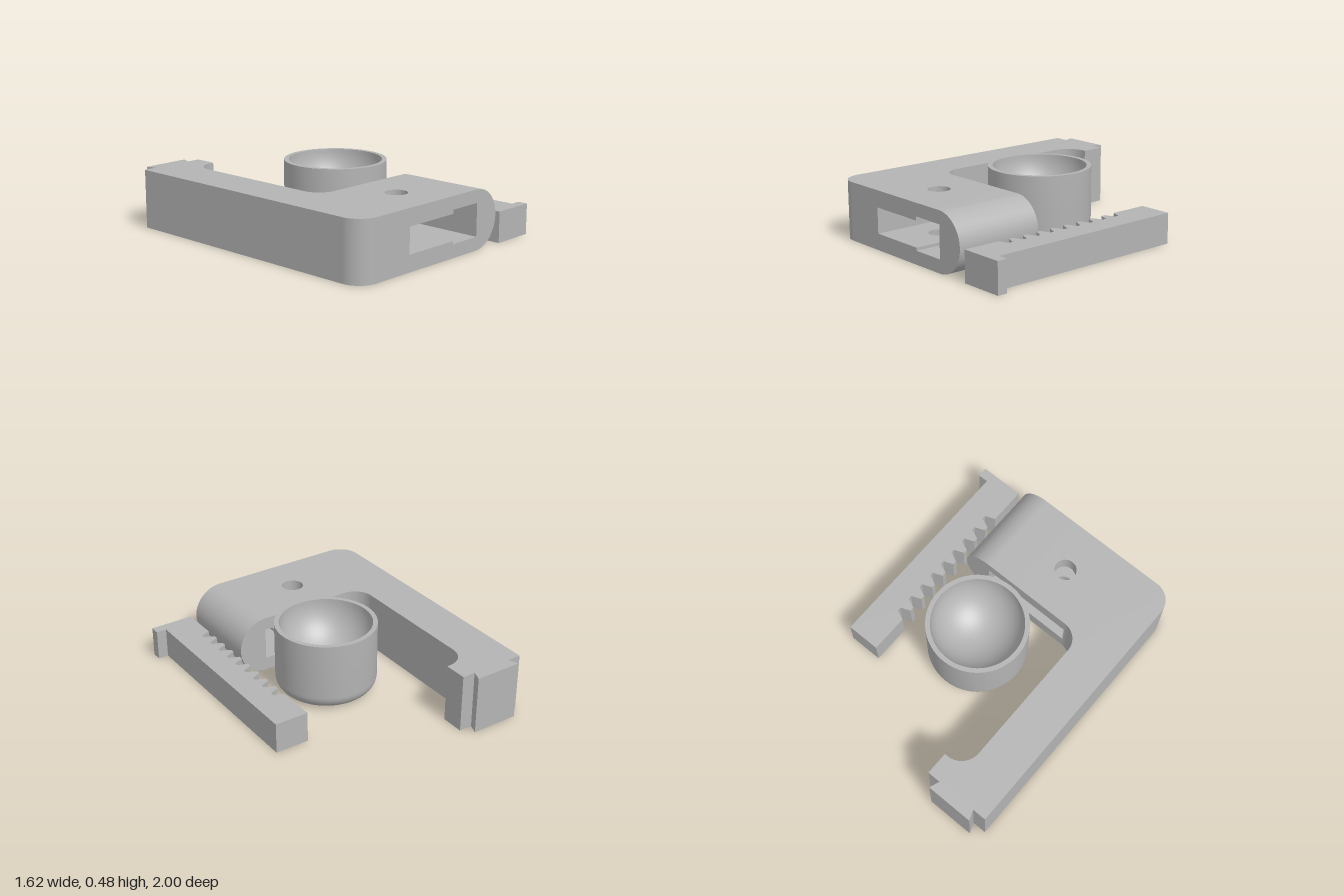
import * as THREE from 'three';
import { toCreasedNormals } from 'three/addons/utils/BufferGeometryUtils.js';

const grey = new THREE.MeshStandardMaterial({ color: 0xb4b4b4 });
grey.name = 'grey plastic';

function part(name, geometry, parent) {
  const mesh = new THREE.Mesh(toCreasedNormals(geometry, 0.6), grey);
  mesh.name = name;
  parent.add(mesh);
  return mesh;
}

// Plan shapes are drawn as (x, -z) and raised from y0 to y1.
function raise(shape, y0, y1) {
  const g = new THREE.ExtrudeGeometry(shape, { depth: y1 - y0, bevelEnabled: false, curveSegments: 24 });
  return g.rotateX(-Math.PI / 2).translate(0, y0, 0);
}

const polygon = (pts) => new THREE.Shape(pts.map(([x, z]) => new THREE.Vector2(x, -z)));

function rectangle(x0, x1, z0, z1) {
  return polygon([[x0, z1], [x1, z1], [x1, z0], [x0, z0]]);
}

function addFrame(model) {
  const frame = new THREE.Group();
  frame.name = 'frame';
  model.add(frame);
  const H = 0.395, slotStart = -0.38, slotStep = 0.03, armBack = 0.39;

  // Side bar with rounded corner, hook and dovetail
  const r = 0.13, R = 0.14, inner = -0.51;
  const s = new THREE.Shape();
  s.moveTo(-0.81 + R, -1);
  s.lineTo(slotStart, -1);
  s.lineTo(slotStart, -armBack);
  s.absarc(inner + r, -armBack + r, r, -Math.PI / 2, -Math.PI, true);
  s.lineTo(inner, 0.775 - 0.14);
  s.absarc(inner + 0.14, 0.775 - 0.14, 0.14, Math.PI, Math.PI / 2, true);
  s.lineTo(-0.35, 0.775);
  for (const [x, y] of [[-0.35, 0.932], [-0.44, 0.932], [-0.415, 1], [-0.74, 1], [-0.715, 0.932], [-0.81, 0.932]]) s.lineTo(x, y);
  s.lineTo(-0.81, -1 + R);
  s.absarc(-0.81 + R, -1 + R, R, Math.PI, Math.PI * 1.5, false);
  part('sideBar', raise(s, 0, H), frame);

  // Floor and ceiling of the slot, both pierced by the pin hole
  for (const [name, y0, y1] of [['slotFloor', 0, 0.11], ['slotCeiling', 0.282, H]]) {
    const plate = rectangle(slotStart, slotStep, armBack, 1);
    plate.holes.push(new THREE.Path().absarc(-0.145, -0.69, 0.073, 0, Math.PI * 2, true));
    part(name, raise(plate, y0, y1), frame);
  }

  // Rounded arm end with the taller part of the slot
  const e = new THREE.Shape();
  e.moveTo(slotStep, 0);
  e.lineTo(0.2625, 0);
  e.absarc(0.2625, H / 2, H / 2, -Math.PI / 2, Math.PI / 2, false);
  for (const [x, y] of [[slotStep, H], [slotStep, 0.308], [0.265, 0.308], [0.265, 0.09], [slotStep, 0.09]]) e.lineTo(x, y);
  const end = new THREE.ExtrudeGeometry(e, { depth: 1 - armBack, bevelEnabled: false, curveSegments: 32 });
  part('armEnd', end.translate(0, 0, armBack), frame);
}

function addCup(model) {
  const cup = new THREE.Group();
  cup.name = 'cup';
  cup.position.set(0.037, 0, 0.003);
  model.add(cup);
  const outer = 0.338, bowl = 0.307, top = 0.48, fillet = 0.1;

  // Rounded outer wall, rim and hemispherical bowl
  const profile = [];
  for (let i = 0; i <= 10; i++) {
    const a = (i / 10) * Math.PI / 2;
    profile.push(new THREE.Vector2(outer - fillet + fillet * Math.sin(a), fillet - fillet * Math.cos(a)));
  }
  profile.push(new THREE.Vector2(outer, top));
  for (let i = 0; i <= 20; i++) {
    const a = (i / 20) * Math.PI / 2;
    profile.push(new THREE.Vector2(i === 20 ? 0 : bowl * Math.cos(a), top - bowl * Math.sin(a)));
  }
  part('cupShell', new THREE.LatheGeometry(profile, 64), cup);

  // Base with a blind square socket
  const base = new THREE.Shape().absarc(0, 0, outer - fillet, 0, Math.PI * 2, false);
  base.holes.push(rectangle(-0.116, 0.116, -0.116, 0.116));
  part('cupBase', raise(base, 0, 0.11), cup);
  part('socketCeiling', new THREE.BoxGeometry(0.25, 0.02, 0.25).translate(0, 0.12, 0), cup);
}

function addRack(model) {
  // Toothed bar with a stop foot at the front
  const pts = [[0.505, 1], [0.805, 1], [0.805, 0.932], [0.735, 0.932], [0.735, -0.485], [0.505, -0.485]];
  const notches = 9, tip = 0.03, pitch = (0.965 + tip) / notches, mouth = pitch - tip;
  for (let i = 0; i < notches; i++) {
    const z = -0.22 + i * pitch;
    pts.push([0.505, z], [0.572, z + 0.027], [0.572, z + mouth - 0.027], [0.505, z + mouth]);
  }
  part('toothedRack', raise(polygon(pts), 0, 0.207), model);
}

export function createModel() {
  const model = new THREE.Group();
  model.name = 'clampParts';
  addFrame(model);
  addCup(model);
  addRack(model);
  return model;
}
